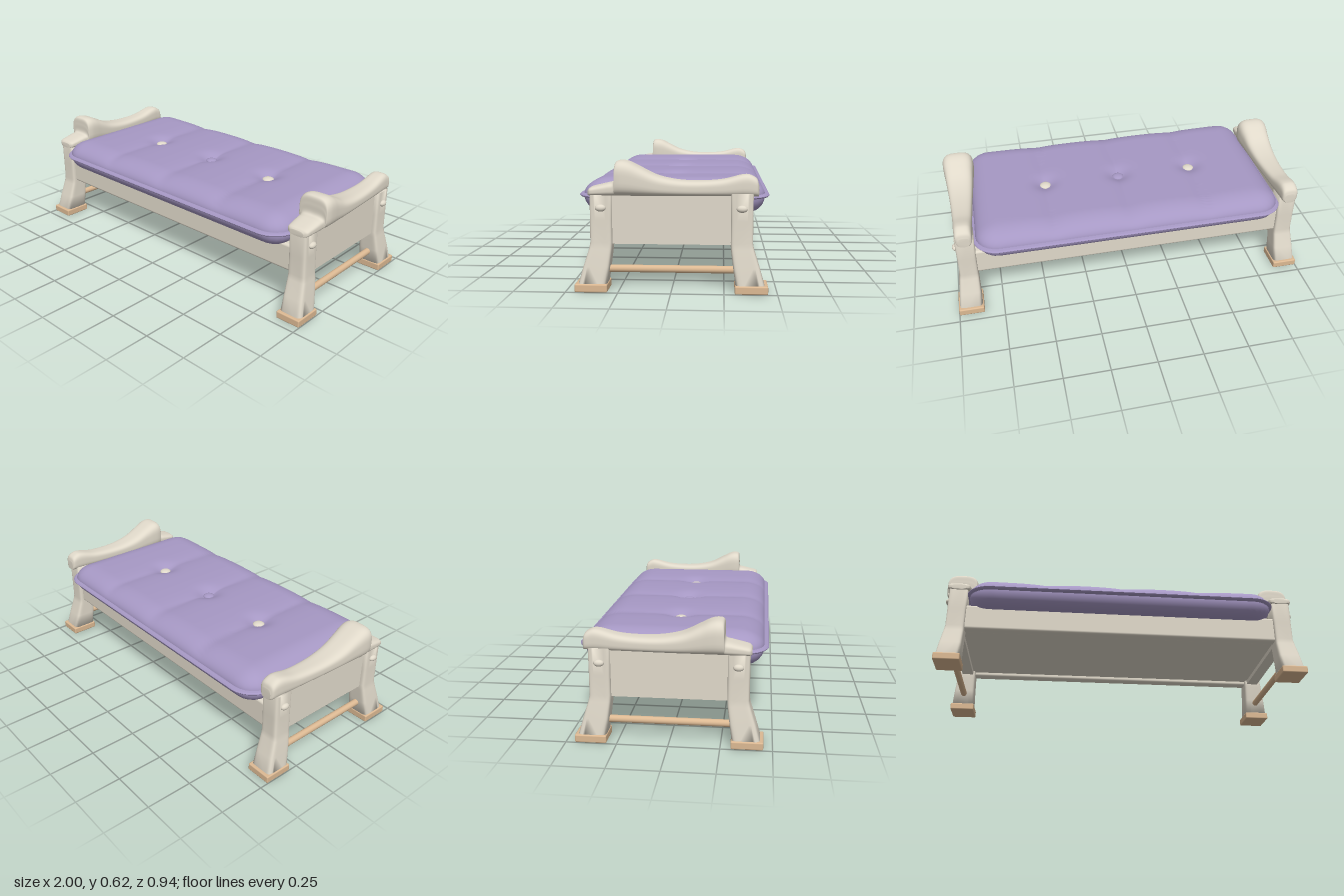
import * as THREE from 'three';
import { RoundedBoxGeometry } from 'three/addons/geometries/RoundedBoxGeometry.js';

const cream = new THREE.MeshStandardMaterial({ color: 0xe0d9ca });
const purple = new THREE.MeshStandardMaterial({ color: 0xa698c4 });
const tan = new THREE.MeshStandardMaterial({ color: 0xdcb993 });

// Skin a list of equally sized closed rings of Vector3, with end caps
function loft(rings, caps = true) {
  const n = rings[0].length, index = [];
  const pos = rings.flat().flatMap((p) => [p.x, p.y, p.z]);
  for (let i = 0; i < rings.length - 1; i++) {
    for (let j = 0; j < n; j++) {
      const k = (j + 1) % n;
      const a = i * n + j, b = i * n + k, c = a + n, d = b + n;
      index.push(a, b, c, b, d, c);
    }
  }
  if (caps) {
    const last = (rings.length - 1) * n;
    for (let j = 1; j < n - 1; j++) index.push(0, j + 1, j, last, last + j, last + j + 1);
  }
  const g = new THREE.BufferGeometry();
  g.setAttribute('position', new THREE.Float32BufferAttribute(pos, 3));
  g.setIndex(index);
  g.computeVertexNormals();
  return g;
}

// Rounded square cross-section as [u, v] pairs
function superellipse(a, b, power, count = 40) {
  return Array.from({ length: count }, (_, i) => {
    const t = ((i + 0.5) / count) * Math.PI * 2;
    const f = (c) => Math.sign(c) * Math.abs(c) ** (2 / power);
    return [a * f(Math.cos(t)), b * f(Math.sin(t))];
  });
}

function roundedRect(hx, hz, r, Type = THREE.Shape) {
  const s = new Type();
  s.absarc(hx - r, hz - r, r, 0, Math.PI / 2);
  s.absarc(-hx + r, hz - r, r, Math.PI / 2, Math.PI);
  s.absarc(-hx + r, -hz + r, r, Math.PI, Math.PI * 1.5);
  s.absarc(hx - r, -hz + r, r, Math.PI * 1.5, Math.PI * 2);
  s.closePath();
  return s;
}

// Flared leg: [y, x0, x1, z0, z1] from top to foot
function legGeometry() {
  const sections = [
    [0.47, 0.862, 0.966, 0.28, 0.385],
    [0.34, 0.864, 0.966, 0.28, 0.385],
    [0.235, 0.865, 0.967, 0.28, 0.385],
    [0.205, 0.865, 0.972, 0.281, 0.39],
    [0.12, 0.866, 0.984, 0.292, 0.417],
    [0.03, 0.866, 0.994, 0.304, 0.443],
  ];
  return loft(sections.map(([y, x0, x1, z0, z1]) =>
    superellipse((x1 - x0) / 2, (z1 - z0) / 2, 7).map(([u, v]) =>
      new THREE.Vector3((x0 + x1) / 2 + u, y, (z0 + z1) / 2 + v))));
}

// Carved armrest: control points are (half width, top height, z)
function armGeometry() {
  const path = new THREE.CatmullRomCurve3([
    [0.03, 0.51, -0.41], [0.043, 0.538, -0.4], [0.047, 0.557, -0.365], [0.049, 0.557, -0.335],
    [0.052, 0.534, -0.24], [0.058, 0.526, -0.12], [0.065, 0.532, -0.02], [0.073, 0.553, 0.07],
    [0.081, 0.592, 0.15], [0.087, 0.616, 0.2], [0.088, 0.622, 0.235], [0.083, 0.615, 0.259],
    [0.077, 0.575, 0.264], [0.07, 0.525, 0.268], [0.068, 0.515, 0.3], [0.064, 0.503, 0.35],
    [0.058, 0.494, 0.382], [0.04, 0.484, 0.393],
  ].map((p) => new THREE.Vector3(...p)), false, 'centripetal');
  const bottom = 0.455;
  return loft(path.getPoints(102).map(({ x: half, y: top, z }) =>
    superellipse(half, (top - bottom) / 2, 3.2).map(([u, v]) =>
      new THREE.Vector3(0.913 + u, (top + bottom) / 2 + v, z))));
}

// Tufted cushion: height follows the distance to the rim, with creases and button dimples
const HX = 0.855, HZ = 0.45, R = 0.12, SEAM = 0.437;
const TUFTS = [-0.43, 0, 0.43];

function cushionHeight(x, z, side) {
  const qx = Math.abs(x) - HX + R, qz = Math.abs(z) - HZ + R;
  const inset = R - Math.hypot(Math.max(qx, 0), Math.max(qz, 0)) - Math.min(Math.max(qx, qz), 0);
  const e = THREE.MathUtils.clamp(inset / (side > 0 ? 0.14 : 0.09), 0, 1);
  const dome = Math.sqrt(1 - (1 - e) ** 2);
  if (side < 0) return SEAM - 0.087 * dome;
  let y = 0.087;
  for (const t of TUFTS) {
    const dx = x - t;
    y -= 0.017 * Math.exp(-Math.abs(dx) / 0.07);
    y -= 0.026 * Math.exp(-(dx * dx + z * z) / 0.0035);
  }
  return SEAM + y * dome;
}

function cushionGeometry() {
  const outline = roundedRect(HX, HZ, R).getSpacedPoints(160).slice(0, -1);
  const steps = 56, rings = [];
  for (const side of [1, -1]) {
    for (let i = 0; i <= steps; i++) {
      const f = side > 0 ? i / steps : 1 - i / steps;
      const s = Math.max(0.002, 1 - (1 - f) ** 1.5);
      rings.push(outline.map((p) =>
        new THREE.Vector3(p.x * s, cushionHeight(p.x * s, p.y * s, side), p.y * s)));
    }
  }
  return loft(rings);
}

function pipingGeometry() {
  const shape = roundedRect(0.85, 0.453, 0.12);
  shape.holes.push(roundedRect(0.79, 0.39, 0.08, THREE.Path));
  const g = new THREE.ExtrudeGeometry(shape, {
    depth: 0.003, bevelSize: 0.019, bevelThickness: 0.008, bevelSegments: 2, curveSegments: 10,
  });
  return g.rotateX(-Math.PI / 2).translate(0, SEAM - 0.0015, 0);
}

export function createModel() {
  const model = new THREE.Group();
  const add = (parent, name, geometry, material, x = 0, y = 0, z = 0) => {
    const mesh = new THREE.Mesh(geometry, material);
    mesh.name = name;
    mesh.position.set(x, y, z);
    parent.add(mesh);
    return mesh;
  };

  // Two mirrored ends with legs, panel, rod and armrest
  const leg = legGeometry(), arm = armGeometry();
  const foot = new RoundedBoxGeometry(0.14, 0.04, 0.156, 2, 0.007);
  const bolt = new THREE.SphereGeometry(1, 20, 12).scale(0.017, 0.017, 0.026);
  const panel = new THREE.BoxGeometry(0.065, 0.235, 0.6);
  const rod = new THREE.CylinderGeometry(0.018, 0.018, 0.66, 20).rotateX(Math.PI / 2);
  for (const side of [1, -1]) {
    const end = new THREE.Group();
    end.name = side > 0 ? 'leftEnd' : 'rightEnd';
    end.scale.x = side;
    model.add(end);
    add(end, 'armrest', arm, cream);
    add(end, 'sidePanel', panel, cream, 0.91, 0.3425, 0);
    add(end, 'crossRod', rod, tan, 0.925, 0.102, 0);
    for (const front of [1, -1]) {
      const corner = new THREE.Group();
      corner.name = front > 0 ? 'frontLeg' : 'backLeg';
      corner.scale.z = front;
      end.add(corner);
      add(corner, 'legPost', leg, cream);
      add(corner, 'foot', foot, tan, 0.93, 0.02, 0.378);
      add(corner, 'bolt', bolt, cream, 0.967, 0.4, 0.331);
    }
  }

  // Long rails and base board
  const rail = new RoundedBoxGeometry(1.76, 0.145, 0.06, 3, 0.014);
  add(model, 'frontRail', rail, cream, 0, 0.2995, 0.335);
  add(model, 'backRail', rail, cream, 0, 0.2995, -0.335);
  add(model, 'baseBoard', new THREE.BoxGeometry(1.77, 0.1, 0.63), cream, 0, 0.3, 0);

  // Cushion with seam piping and buttons
  add(model, 'cushion', cushionGeometry(), purple);
  add(model, 'cushionPiping', pipingGeometry(), purple);
  const button = new THREE.SphereGeometry(1, 24, 12).scale(0.033, 0.014, 0.033);
  for (const x of TUFTS) {
    add(model, 'button', button, x === 0 ? purple : cream, x, cushionHeight(x, 0, 1) + 0.008, 0);
  }
  return model;
}
